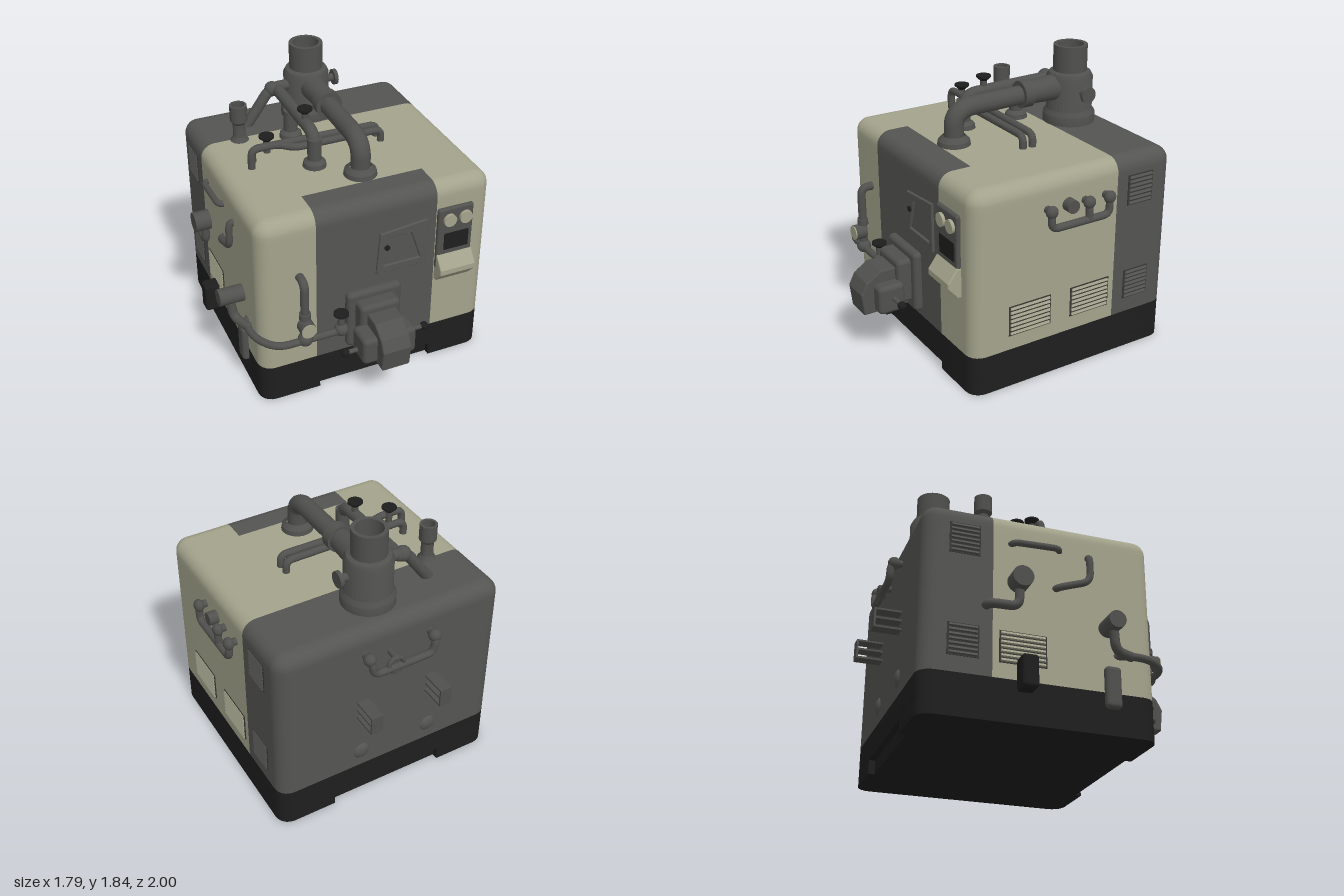
import * as THREE from 'three';
import { toCreasedNormals } from 'three/addons/utils/BufferGeometryUtils.js';
import { RoundedBoxGeometry } from 'three/addons/geometries/RoundedBoxGeometry.js';

const V = (p) => new THREE.Vector3(...p);

export function createModel() {
  const root = new THREE.Group();
  root.name = 'boilerUnit';
  const mat = (name, hex, side = THREE.FrontSide) =>
    Object.assign(new THREE.MeshStandardMaterial({ color: hex, side }), { name });
  const cream = mat('cream', 0xa3a38c, THREE.DoubleSide);
  const grey = mat('panelGrey', 0x545452, THREE.DoubleSide);
  const metal = mat('pipeGrey', 0x50504e, THREE.DoubleSide);
  const black = mat('black', 0x1e1e1e);
  const slot = mat('slotGrey', 0x383836);

  const add = (name, geo, m, pos = [0, 0, 0], rot = [0, 0, 0]) => {
    const mesh = new THREE.Mesh(geo, m);
    mesh.name = name;
    mesh.position.set(...pos);
    mesh.rotation.set(...rot);
    root.add(mesh);
    return mesh;
  };
  // axis-aligned box from its limits, optionally rounded
  const box = (name, m, x0, x1, y0, y1, z0, z1, r = 0) => {
    const s = [x1 - x0, y1 - y0, z1 - z0];
    const g = r ? new RoundedBoxGeometry(...s, 3, r) : new THREE.BoxGeometry(...s);
    return add(name, g, m, [(x0 + x1) / 2, (y0 + y1) / 2, (z0 + z1) / 2]);
  };
  // cylinder between two points
  const rod = (name, m, a, b, r0, r1 = r0) => {
    const A = V(a), B = V(b), d = B.clone().sub(A);
    const mesh = add(name, new THREE.CylinderGeometry(r1, r0, d.length(), 24), m,
      A.clone().add(B).multiplyScalar(0.5).toArray());
    mesh.quaternion.setFromUnitVectors(V([0, 1, 0]), d.normalize());
    return mesh;
  };
  // pipe through points with rounded bends
  const pipe = (name, pts, r, bend = r * 2) => {
    const P = pts.map(V), path = new THREE.CurvePath();
    let last = P[0];
    for (let i = 1; i < P.length - 1; i++) {
      const cut = (q) => {
        const d = q.clone().sub(P[i]);
        return P[i].clone().add(d.setLength(Math.min(bend, d.length() * 0.48)));
      };
      const a = cut(P[i - 1]), b = cut(P[i + 1]);
      path.add(new THREE.LineCurve3(last, a));
      path.add(new THREE.QuadraticBezierCurve3(a, P[i], b));
      last = b;
    }
    path.add(new THREE.LineCurve3(last, P[P.length - 1]));
    add(name, new THREE.TubeGeometry(path, 64, r, 14), metal);
    for (const p of [pts[0], pts[pts.length - 1]]) ball(name + 'End', metal, p, r);
  };
  const ball = (name, m, p, r, s = [1, 1, 1]) =>
    add(name, new THREE.SphereGeometry(r, 20, 14), m, p).scale.set(...s);
  const lathe = (name, m, pts, pos) => add(name, toCreasedNormals(
    new THREE.LatheGeometry(pts.map((p) => new THREE.Vector2(...p)), 36), 0.6), m, pos);

  // ---- casing: rounded shell split into coloured panels ----
  const R = 0.09, X0 = -0.65, X1 = 0.72, Z0 = -0.74, Z1 = 0.53;
  const ring = (r) => {
    const out = [];
    const arc = (cx, cz, from) => {
      for (let i = 0; i < 6; i++) {
        const t = (from - i * 18) * Math.PI / 180;
        out.push([cx + r * Math.cos(t), cz + r * Math.sin(t)]);
      }
    };
    arc(X1, Z1, 90); out.push([X1 + r, -0.405]);
    arc(X1, Z0, 0); arc(X0, Z0, -90); out.push([X0 - r, -0.405]);
    arc(X0, Z1, -180); out.push([-0.37, Z1 + r], [0.43, Z1 + r]);
    return out;
  };
  const rows = [[0.26, R], [1.2, R]];
  for (let i = 0; i <= 6; i++) {
    const t = i * Math.PI / 12;
    rows.push([1.24 + R * Math.sin(t), R * Math.cos(t)]);
  }
  const verts = rows.flatMap(([y, r]) => ring(r).flatMap(([x, z]) => [x, y, z]));
  const n = ring(R).length, shell = new THREE.BufferGeometry(), faces = [[], []];
  for (let j = 0; j < rows.length - 1; j++) for (let i = 0; i < n; i++) {
    const k = (i + 1) % n, a = j * n + i, b = j * n + k;
    const dark = (i >= 6 && i <= 18) || i === 26;
    faces[dark ? 1 : 0].push(a, b, b + n, a, b + n, a + n);
  }
  shell.setAttribute('position', new THREE.Float32BufferAttribute(verts, 3));
  shell.setIndex([...faces[0], ...faces[1]]);
  shell.addGroup(0, faces[0].length, 0);
  shell.addGroup(faces[0].length, faces[1].length, 1);
  shell.computeVertexNormals();
  add('casing', shell, [cream, grey]);
  for (const [x0, x1, z0, z1, m] of [[X0, X1, Z0, -0.405, grey], [X0, X1, -0.405, 0.4, cream],
    [X0, -0.37, 0.4, Z1, cream], [-0.37, 0.43, 0.4, Z1, grey], [0.43, X1, 0.4, Z1, cream]])
    add('casingTop', new THREE.PlaneGeometry(x1 - x0, z1 - z0), m,
      [(x0 + x1) / 2, 1.33, (z0 + z1) / 2], [-Math.PI / 2, 0, 0]);

  // ---- plinth, notched at front and back underside ----
  const plinth = (y0, y1, notch) => {
    const p = ring(R);
    if (notch) {
      const f = Z1 + R, b = Z0 - R;
      p.splice(26, 2, [-0.35, f], [-0.35, f - notch], [0.43, f - notch], [0.43, f]);
      p.splice(13, 0, [0.43, b], [0.43, b + notch], [-0.35, b + notch], [-0.35, b]);
    }
    const s = new THREE.Shape(p.map(([x, z]) => new THREE.Vector2(x, -z)));
    const g = new THREE.ExtrudeGeometry(s, { depth: y1 - y0, bevelEnabled: false });
    add('plinth', toCreasedNormals(g.rotateX(-Math.PI / 2), 0.5), black, [0, y0, 0]);
  };
  plinth(0, 0.09, 0.04);
  plinth(0.09, 0.26, 0);

  // ---- louvred vents on both sides ----
  const vent = (side, zc, yc, w, slat) => {
    const x = side > 0 ? 0.81 : -0.74;
    box('ventBack', slot, x - 0.004, x + 0.004, yc - 0.1, yc + 0.1, zc - w / 2, zc + w / 2);
    for (let i = 0; i < 7; i++)
      add('ventSlat', new THREE.BoxGeometry(0.016, 0.016, w - 0.02), slat,
        [x + side * 0.004, yc - 0.084 + i * 0.028, zc], [0, 0, side * 0.4]);
  };
  for (const s of [1, -1]) {
    vent(s, -0.58, 1.11, 0.19, grey);
    vent(s, -0.58, 0.46, 0.19, grey);
    vent(s, -0.22, 0.455, 0.29, cream);
  }
  vent(1, 0.22, 0.455, 0.3, cream);

  // ---- front burner ----
  box('burnerFlange', metal, -0.18, 0.19, 0.3, 0.71, 0.6, 0.67, 0.03);
  box('burnerNeck', metal, -0.13, 0.14, 0.36, 0.66, 0.62, 0.76, 0.03);
  const prof = new THREE.Shape([[0.66, 0.34], [0.97, 0.34], [0.985, 0.47], [0.95, 0.54], [0.86, 0.6],
    [0.7, 0.6]].map((p) => new THREE.Vector2(...p)));
  const hood = new THREE.ExtrudeGeometry(prof, { depth: 0.17, bevelSize: 0.01, bevelThickness: 0.01, bevelSegments: 2 });
  add('burnerHood', hood.rotateY(-Math.PI / 2), metal, [0.09, 0, 0]);
  box('burnerHousing', metal, -0.18, 0.18, 0.34, 0.53, 0.73, 0.91, 0.03);
  for (const [x, y] of [[-0.26, 0.4], [0.28, 0.44]]) {
    rod('burnerSpindle', metal, [0, y, 0.81], [x, y, 0.81], 0.015);
    ball('burnerKnob', black, [x, y, 0.81], 0.027);
  }

  // ---- front hatch ----
  const hatch = new THREE.Shape([[0.03, 0.8], [0.36, 0.8], [0.36, 1.11], [0.05, 1.08]].map((p) => new THREE.Vector2(...p)));
  hatch.holes.push(new THREE.Path([[0.07, 0.84], [0.13, 1.05], [0.26, 1.05], [0.33, 0.84]].map((p) => new THREE.Vector2(...p))));
  add('hatchFrame', new THREE.ExtrudeGeometry(hatch, { depth: 0.015, bevelSize: 0.005, bevelThickness: 0.005, bevelSegments: 1 }), grey, [0, 0, 0.615]);
  rod('hatchLatch', black, [0.09, 0.98, 0.62], [0.09, 0.98, 0.645], 0.018);

  // ---- control box ----
  box('controlPanel', metal, 0.435, 0.68, 0.72, 1.16, 0.6, 0.645, 0.015);
  box('controlScreen', black, 0.48, 0.65, 0.86, 0.98, 0.642, 0.65);
  for (const x of [0.51, 0.62]) rod('controlDial', cream, [x, 1.08, 0.63], [x, 1.08, 0.665], 0.043);
  const tray = new THREE.Shape([[0.61, 0.64], [0.64, 0.64], [0.7, 0.71], [0.7, 0.74], [0.64, 0.82], [0.61, 0.82]]
    .map((p) => new THREE.Vector2(...p)));
  add('controlTray', new THREE.ExtrudeGeometry(tray, { depth: 0.23, bevelSize: 0.008, bevelThickness: 0.008, bevelSegments: 2 })
    .rotateY(-Math.PI / 2), cream, [0.675, 0, 0]);

  // ---- handwheel valves ----
  const wheel = (x, y, z) => {
    rod('valveStem', metal, [x, y - 0.1, z], [x, y, z], 0.022);
    lathe('valveWheel', black, [[0, -0.02], [0.02, -0.02], [0.048, 0.005], [0.048, 0.017], [0, 0.017]], [x, y, z]);
  };

  // ---- front left pipework ----
  pipe('frontFeedPipe', [[-0.72, 0.5, 0.36], [-0.77, 0.5, 0.42], [-0.76, 0.5, 0.58], [-0.66, 0.49, 0.7], [-0.24, 0.49, 0.7]], 0.024, 0.08);
  pipe('frontRiser', [[-0.48, 0.5, 0.7], [-0.48, 0.92, 0.7], [-0.48, 0.92, 0.6]], 0.027);
  ball('riserJoint', metal, [-0.48, 0.5, 0.7], 0.047);
  rod('riserCollar', metal, [-0.48, 0.66, 0.7], [-0.48, 0.7, 0.7], 0.036);
  rod('gaugeBody', metal, [-0.48, 0.61, 0.69], [-0.48, 0.61, 0.765], 0.05);
  rod('gaugeFace', cream, [-0.48, 0.61, 0.764], [-0.48, 0.61, 0.772], 0.048);
  ball('feedValve', metal, [-0.24, 0.5, 0.7], 0.045);
  wheel(-0.24, 0.61, 0.7);

  // ---- right-hand side fittings ----
  rod('sideDrum', metal, [-0.76, 0.865, -0.26], [-0.865, 0.865, -0.26], 0.065);
  pipe('drumPipe', [[-0.72, 0.7, -0.45], [-0.78, 0.7, -0.44], [-0.79, 0.7, -0.26], [-0.79, 0.86, -0.26]], 0.028);
  rod('sideDrumFront', metal, [-0.74, 0.665, 0.31], [-0.9, 0.665, 0.31], 0.055);
  pipe('drumPipeFront', [[-0.83, 0.66, 0.31], [-0.81, 0.5, 0.33], [-0.76, 0.5, 0.45]], 0.03);
  box('sideCover', metal, -0.78, -0.72, 0.16, 0.42, 0.28, 0.38, 0.025);
  box('sideSwitch', black, -0.85, -0.73, 0.19, 0.39, -0.26, -0.16, 0.02);
  pipe('sideRail', [[-0.72, 1.13, -0.3], [-0.77, 1.13, -0.28], [-0.77, 1.14, 0.0], [-0.72, 1.14, 0.02]], 0.02);
  pipe('sideHook', [[-0.72, 1.12, 0.2], [-0.77, 1.12, 0.2], [-0.77, 0.95, 0.2], [-0.77, 0.88, 0.0], [-0.72, 0.88, -0.02]], 0.022, 0.06);

  // ---- left-hand side manifold ----
  pipe('manifold', [[0.79, 1.13, 0.11], [0.86, 1.13, 0.11], [0.86, 1.02, 0.11], [0.86, 1.02, -0.31], [0.86, 1.13, -0.31], [0.79, 1.13, -0.31]], 0.024);
  pipe('manifoldBranch', [[0.79, 1.13, -0.16], [0.86, 1.13, -0.16], [0.86, 1.02, -0.16]], 0.024);
  for (const z of [0.11, -0.16, -0.31]) ball('manifoldValve', metal, [0.86, 1.13, z], 0.04, [0.8, 1, 1]);
  rod('manifoldKnob', metal, [0.8, 1.13, -0.04], [0.87, 1.13, -0.04], 0.042);

  // ---- back fittings ----
  pipe('backManifold', [[0.23, 1.16, -0.8], [0.23, 1.16, -0.9], [0.21, 1.05, -0.9], [-0.2, 1.05, -0.9], [-0.22, 1.16, -0.9], [-0.22, 1.16, -0.8]], 0.024);
  for (const x of [-0.22, 0.23]) ball('backValve', metal, [x, 1.16, -0.88], 0.04);
  add('backRing', new THREE.TorusGeometry(0.05, 0.016, 10, 24), metal, [0.06, 1.07, -0.9]);
  pipe('backBranch', [[0.06, 1.12, -0.82], [0.06, 1.12, -0.9]], 0.02);
  for (const x of [-0.25, 0.24]) {
    for (const y of [0.685, 0.742, 0.8]) box('bracketPlate', metal, x - 0.04, x + 0.04, y - 0.006, y + 0.006, -1, -0.82);
    box('bracketEnd', metal, x - 0.04, x + 0.04, 0.68, 0.806, -1, -0.988);
    ball('backBoss', grey, [x, 0.38, -0.82], 0.06, [1, 1, 0.5]);
  }

  // ---- chimney ----
  lathe('chimney', metal, [[0.17, 0], [0.17, 0.06], [0.15, 0.09], [0.15, 0.3], [0.135, 0.33], [0.11, 0.34],
    [0.11, 0.51], [0.085, 0.51], [0.085, 0.2], [0, 0.2]], [0.06, 1.33, -0.57]);
  rod('chimneyPort', metal, [0.18, 1.55, -0.57], [0.26, 1.55, -0.57], 0.026);
  rod('chimneyPortCap', metal, [0.25, 1.55, -0.57], [0.275, 1.55, -0.57], 0.052);

  // ---- roof pipes ----
  pipe('mainFlue', [[0.06, 1.565, -0.5], [0.06, 1.555, 0.3], [0.06, 1.33, 0.3]], 0.062, 0.15);
  rod('flueSleeve', metal, [0.06, 1.57, -0.45], [0.06, 1.565, -0.24], 0.085, 0.072);
  rod('flueCollar', metal, [0.06, 1.565, -0.25], [0.06, 1.565, -0.18], 0.088);
  lathe('flueFoot', metal, [[0.105, 0], [0.1, 0.03], [0.07, 0.06]], [0.06, 1.33, 0.3]);
  pipe('returnPipe', [[0, 1.57, -0.55], [-0.2, 1.57, -0.55], [-0.38, 1.32, -0.55]], 0.036, 0.07);
  ball('returnJoint', metal, [-0.19, 1.56, -0.55], 0.05);
  pipe('crossPipe', [[-0.16, 1.56, -0.55], [-0.16, 1.55, 0.1], [-0.16, 1.33, 0.1]], 0.04, 0.1);
  for (const z of [0.1, -0.3]) {
    lathe('crossFoot', metal, [[0.075, 0], [0.07, 0.03], [0.045, 0.05]], [-0.16, 1.33, z]);
    rod('crossLeg', metal, [-0.16, 1.33, z], [-0.16, 1.52, z], 0.045);
  }
  wheel(-0.16, 1.64, -0.05);
  lathe('ventStub', metal, [[0.06, 0], [0.04, 0.03], [0.04, 0.12], [0.056, 0.14], [0.056, 0.25],
    [0.04, 0.25], [0.04, 0.1], [0, 0.1]], [-0.48, 1.33, -0.39]);
  pipe('roofRailBack', [[-0.5, 1.32, -0.09], [-0.5, 1.42, -0.09], [0.35, 1.41, -0.09], [0.35, 1.32, -0.09]], 0.024);
  pipe('roofRailFront', [[-0.53, 1.32, -0.02], [-0.53, 1.46, -0.02], [-0.36, 1.46, -0.02], [-0.24, 1.41, -0.02],
    [0.35, 1.41, -0.02], [0.35, 1.32, -0.02]], 0.024);
  wheel(-0.42, 1.51, -0.04);
  return root;
}
